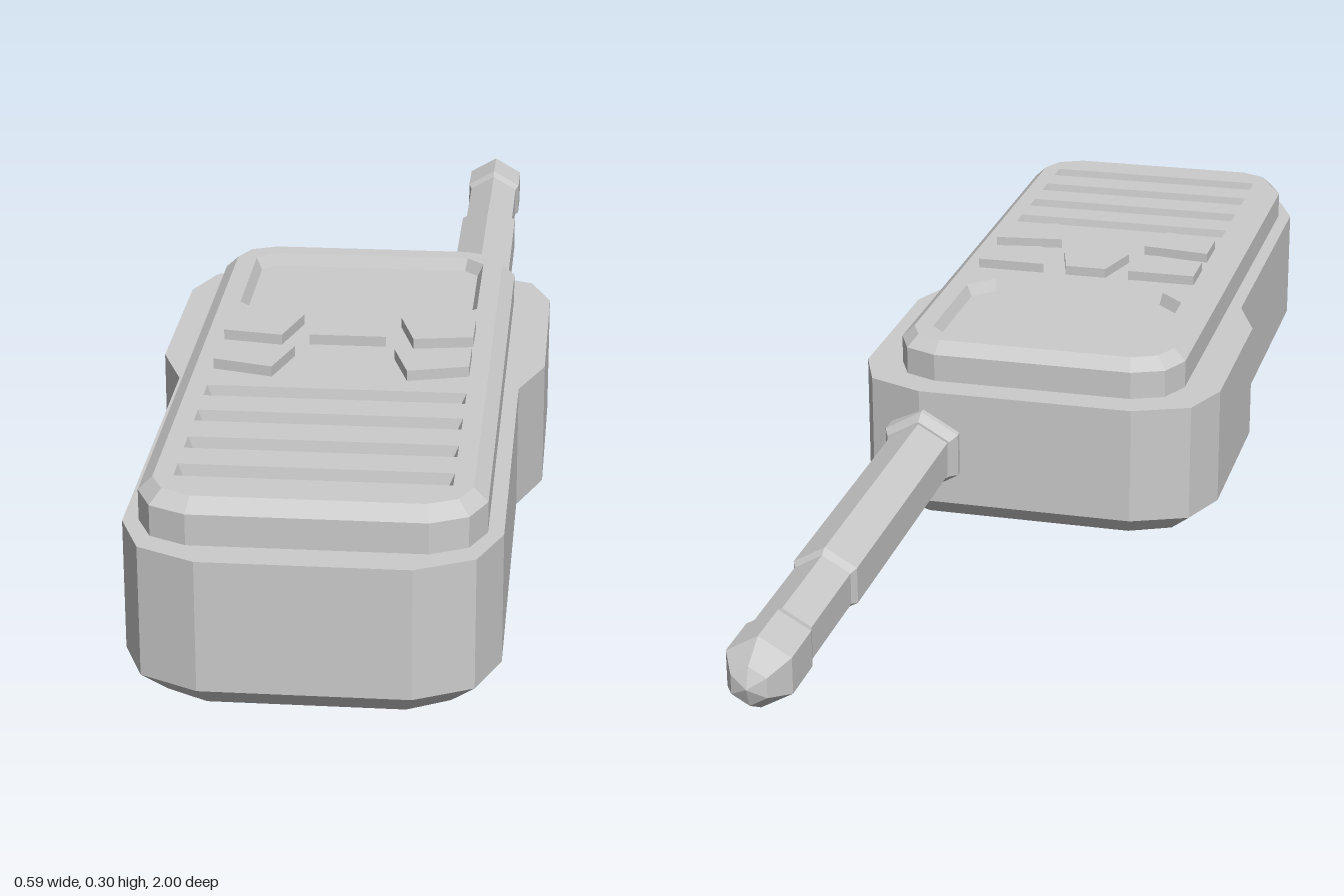
import * as THREE from 'three';

const mat = new THREE.MeshStandardMaterial({ color: 0xcccccc, flatShading: true });
const v2 = (x, z) => new THREE.Vector2(x, -z);

// Outline from its +x half, listed from front to back
const mirrored = half => [
  ...half.map(([x, z]) => v2(x, z)),
  ...[...half].reverse().map(([x, z]) => v2(-x, z)),
];

// Mitred inset of a counter-clockwise outline
function inset(pts, dx, dz = dx) {
  const n = pts.length;
  const normal = (a, b) => new THREE.Vector2(a.y - b.y, b.x - a.x).normalize();
  return pts.map((p, i) => {
    const n1 = normal(pts[(i + n - 1) % n], p);
    const n2 = normal(p, pts[(i + 1) % n]);
    const m = n1.clone().add(n2).divideScalar(1 + n1.dot(n2));
    return new THREE.Vector2(p.x + m.x * dx, p.y + m.y * dz);
  });
}

// Skin stacked outlines [points, y]; optional caps, the top one with holes
function loft(name, rings, { bottom = false, top = true, holes = [] } = {}) {
  const pos = [];
  const put = (p, y) => pos.push(p.x, y, -p.y);
  for (let r = 0; r + 1 < rings.length; r++) {
    const [a, ya] = rings[r], [b, yb] = rings[r + 1];
    a.forEach((p, i) => {
      const j = (i + 1) % a.length;
      put(p, ya); put(a[j], ya); put(b[j], yb);
      put(p, ya); put(b[j], yb); put(b[i], yb);
    });
  }
  const cap = ([pts, y], cuts, flip) => {
    const all = [pts, ...cuts].flat();
    for (const f of THREE.ShapeUtils.triangulateShape([...pts], cuts.map(c => [...c]))) {
      (flip ? [f[2], f[1], f[0]] : f).forEach(k => put(all[k], y));
    }
  };
  if (top) cap(rings[rings.length - 1], holes, false);
  if (bottom) cap(rings[0], [], true);
  const g = new THREE.BufferGeometry();
  g.setAttribute('position', new THREE.Float32BufferAttribute(pos, 3));
  g.computeVertexNormals();
  const mesh = new THREE.Mesh(g, mat);
  mesh.name = name;
  return mesh;
}

export function createModel() {
  const model = new THREE.Group();
  model.name = 'handheldRadio';

  // Main case with wide shoulders and a chamfered underside
  const body = mirrored([
    [0.145, 1], [0.227, 0.96], [0.26, 0.88], [0.26, 0.36],
    [0.297, 0.265], [0.297, -0.03], [0.265, -0.11], [0.175, -0.147],
  ]);
  model.add(loft('case', [[inset(body, 0.042, 0.03), 0], [body, 0.031], [body, 0.223]], { bottom: true }));

  // Raised face plate, cut through for the screen and speaker slots
  const plate = mirrored([
    [0.163, 0.95], [0.215, 0.925], [0.238, 0.875],
    [0.238, -0.025], [0.215, -0.075], [0.163, -0.097],
  ]);
  const topY = 0.287;
  const screen = mirrored([
    [0.147, 0.23], [0.187, 0.19], [0.187, -0.018], [0.16, -0.045],
  ]);
  const slots = [0.56, 0.655, 0.752, 0.847].map(z =>
    mirrored([[0.19, z + 0.02], [0.19, z - 0.02]]));
  model.add(loft('facePlate',
    [[plate, 0.22], [plate, 0.268], [inset(plate, 0.02), topY]],
    { holes: [screen, ...slots] }));
  model.add(loft('screen', [[screen, topY], [inset(screen, 0.009), 0.268]]));
  slots.forEach(s => model.add(loft('speakerSlot', [[s, topY], [inset(s, 0.014, 0.006), 0.255]])));

  // Keypad: one middle key and two mirrored pairs
  const key = (name, pts) => model.add(loft(name, [[pts, topY - 0.002], [pts, 0.303]]));
  key('middleKey', mirrored([[0.058, 0.365], [0.035, 0.28]]));
  const sideKeys = {
    UpperKey: [[0.1, 0.37], [0.19, 0.355], [0.19, 0.28], [0.075, 0.28]],
    LowerKey: [[0.1, 0.5], [0.19, 0.475], [0.19, 0.4], [0.075, 0.415]],
  };
  for (const [name, pts] of Object.entries(sideKeys)) {
    key('left' + name, pts.map(([x, z]) => v2(x, z)));
    key('right' + name, [...pts].reverse().map(([x, z]) => v2(-x, z)));
  }

  // Six-sided antenna pointing backwards: profile of [radius, distance back]
  const hexRod = (name, profile) => {
    const g = new THREE.LatheGeometry(profile.map(p => new THREE.Vector2(...p)), 6);
    g.rotateX(-Math.PI / 2);
    const mesh = new THREE.Mesh(g, mat);
    mesh.name = name;
    mesh.position.set(0.168, 0.122, 0);
    model.add(mesh);
  };
  hexRod('antennaCollar', [[0, 0.1], [0.07, 0.1], [0.07, 0.158], [0.06, 0.177], [0, 0.177]]);
  hexRod('antennaRod', [[0.056, 0.16], [0.056, 0.655], [0.049, 0.668], [0.049, 0.87]]);
  hexRod('antennaTip', [[0.049, 0.845], [0.055, 0.862], [0.055, 0.945], [0.03, 0.988], [0, 1]]);
  return model;
}
